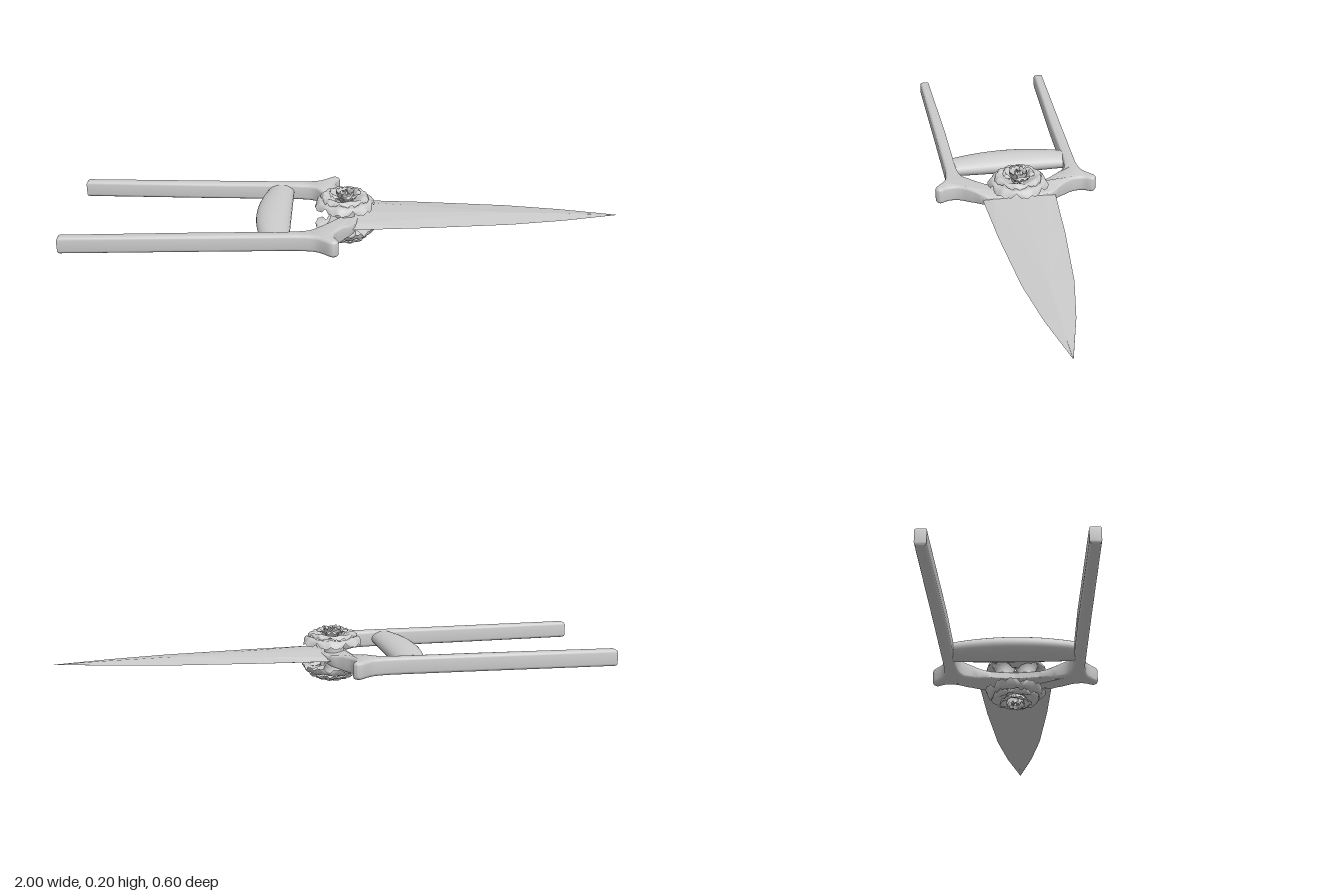
import * as THREE from 'three';
import { toCreasedNormals } from 'three/addons/utils/BufferGeometryUtils.js';

const MID = 0.103; // height of the plane everything is mirrored about
const steel = new THREE.MeshStandardMaterial({ color: 0xcccccc, side: THREE.DoubleSide });
steel.name = 'steel';

function add(parent, name, geometry) {
  const mesh = new THREE.Mesh(geometry, steel);
  mesh.name = name;
  parent.add(mesh);
  return mesh;
}

// Move every vertex of a geometry by a rule
function reshape(geometry, rule) {
  const p = geometry.attributes.position;
  const v = new THREE.Vector3();
  for (let i = 0; i < p.count; i++) {
    rule(v.fromBufferAttribute(p, i));
    p.setXYZ(i, v.x, v.y, v.z);
  }
  geometry.computeVertexNormals();
  return geometry;
}

// Side rail with a flared shoulder that turns in to the hub
function railGeometry(s) {
  const pts = list => list.map(([x, z]) => new THREE.Vector2(x, z * s));
  const shape = new THREE.Shape();
  shape.moveTo(-1, 0.235 * s);
  shape.lineTo(-1, 0.272 * s);
  shape.lineTo(-0.5, 0.258 * s);
  shape.lineTo(-0.17, 0.25 * s);
  shape.splineThru(pts([[-0.1, 0.26], [-0.045, 0.3], [-0.02, 0.285], [-0.035, 0.25],
    [-0.03, 0.21], [0, 0.165], [0.04, 0.11], [0.05, -0.02]]));
  shape.lineTo(-0.045, -0.02 * s);
  shape.splineThru(pts([[-0.06, 0.09], [-0.085, 0.15], [-0.125, 0.195], [-0.2, 0.208]]));
  shape.lineTo(-0.5, 0.215 * s);
  const g = new THREE.ExtrudeGeometry(shape, {
    depth: 0.04, bevelThickness: 0.011, bevelSize: 0.011, bevelOffset: -0.011,
    bevelSegments: 4, curveSegments: 5,
  });
  g.translate(0, 0, -0.02).rotateX(Math.PI / 2);
  // the inner end is thinner than the rail
  reshape(g, v => { v.y *= 0.5 + 0.5 * THREE.MathUtils.smoothstep(Math.abs(v.z), 0.09, 0.19); });
  return toCreasedNormals(g, 0.7);
}

// Cross grip: straight in front, bowed behind
function gripGeometry() {
  const g = new THREE.CylinderGeometry(1, 1, 0.45, 28, 14);
  g.rotateX(Math.PI / 2);
  return reshape(g, v => {
    const t = v.z / 0.225;
    const back = -0.325 + 0.035 * t * t, front = -0.195;
    v.x = (back + front) / 2 + v.x * (front - back) / 2;
    v.y *= 0.037 - 0.009 * t * t;
  });
}

// Faceted blade: [x, half width, ridge offset, ridge height, centre height]
function bladeGeometry() {
  const sections = [
    [0.03, 0.135, 0.1, 0.009, 0.014], [0.3, 0.117, 0.055, 0.009, 0.012],
    [0.6, 0.087, 0.004, 0.0095, 0.0098], [0.8, 0.051, 0.002, 0.006, 0.0062],
    [1, 0.001, 0.0005, 0.0005, 0.0006],
  ];
  const pos = [], index = [];
  for (const [x, w, r, h, c] of sections) {
    const loop = [[w, 0], [r, h], [0, c], [-r, h], [-w, 0], [-r, -h], [0, -c], [r, -h]];
    for (const [z, y] of loop) pos.push(x, y, z);
  }
  for (let i = 0; i < sections.length - 1; i++) {
    for (let k = 0; k < 8; k++) {
      const a = i * 8 + k, b = i * 8 + (k + 1) % 8;
      index.push(a, a + 8, b, b, a + 8, b + 8);
    }
  }
  const last = (sections.length - 1) * 8;
  for (let k = 1; k < 7; k++) index.push(0, k, k + 1, last, last + k + 1, last + k);
  const g = new THREE.BufferGeometry();
  g.setAttribute('position', new THREE.Float32BufferAttribute(pos, 3));
  g.setIndex(index);
  const flat = g.toNonIndexed();
  flat.computeVertexNormals();
  return flat;
}

// Petal swept along a radial profile of [radius, height] points
function petalGeometry(profile, halfWidth, cup) {
  const curve = new THREE.CatmullRomCurve3(profile.map(([r, y]) => new THREE.Vector3(r, y, 0)));
  const p = new THREE.Vector3();
  return reshape(new THREE.PlaneGeometry(2, 1, 10, 10), v => {
    const u = v.x, t = v.y + 0.5;
    curve.getPoint(t, p);
    const width = halfWidth * Math.sin(Math.PI * (0.12 + 0.66 * t));
    const lip = t * t * (0.004 * Math.cos(u * 7) - 0.004);
    v.set(p.x - 0.22 * halfWidth * u * u * t, p.y + cup * u * u * t + lip, u * width);
  });
}

function buildRose() {
  const rose = new THREE.Group();
  // twin flared stems between hub and bloom
  const stem = [[0.038, 0], [0.036, 0.02], [0.035, 0.04], [0.041, 0.055], [0.046, 0.061], [0, 0.061]];
  for (const s of [-1, 1]) {
    const g = new THREE.LatheGeometry(stem.map(([r, y]) => new THREE.Vector2(r, y)), 24);
    add(rose, 'stem', g).position.z = s * 0.04;
  }
  // rings of petals, from the spread outer ones to the closed heart
  const rings = [
    ['outerPetal', 6, 0.055, -0.008, 0.3, [[0.025, 0.045], [0.06, 0.06], [0.092, 0.067], [0.112, 0.047]]],
    ['middlePetal', 6, 0.046, -0.006, 0.8, [[0.015, 0.05], [0.05, 0.073], [0.075, 0.084], [0.09, 0.074]]],
    ['innerPetal', 5, 0.036, -0.004, 0.1, [[0.01, 0.05], [0.033, 0.075], [0.046, 0.094], [0.06, 0.092]]],
    ['heartPetal', 4, 0.025, 0, 0.5, [[0.006, 0.05], [0.022, 0.075], [0.026, 0.093], [0.033, 0.101]]],
    ['budPetal', 3, 0.014, 0, 0.2, [[0.005, 0.05], [0.013, 0.08], [0.012, 0.094], [0.007, 0.099]]],
  ];
  for (const [name, count, width, cup, turn, profile] of rings) {
    const g = petalGeometry(profile, width, cup);
    for (let i = 0; i < count; i++) {
      const petal = add(rose, name, g);
      petal.rotation.y = turn + i / count * Math.PI * 2;
      petal.position.y = (i % 2) * -0.002;
    }
  }
  return rose;
}

export function createModel() {
  const model = new THREE.Group();
  model.name = 'punchDagger';
  const body = new THREE.Group();
  body.name = 'dagger';
  body.position.y = MID;
  model.add(body);

  add(body, 'blade', bladeGeometry());
  add(body, 'grip', gripGeometry());
  add(body, 'leftRail', railGeometry(-1));
  add(body, 'rightRail', railGeometry(1));

  // one rose on each face of the hub
  for (const [name, turn] of [['upperRose', 0], ['lowerRose', Math.PI]]) {
    const rose = buildRose();
    rose.name = name;
    rose.rotation.x = turn;
    body.add(rose);
  }
  return model;
}
